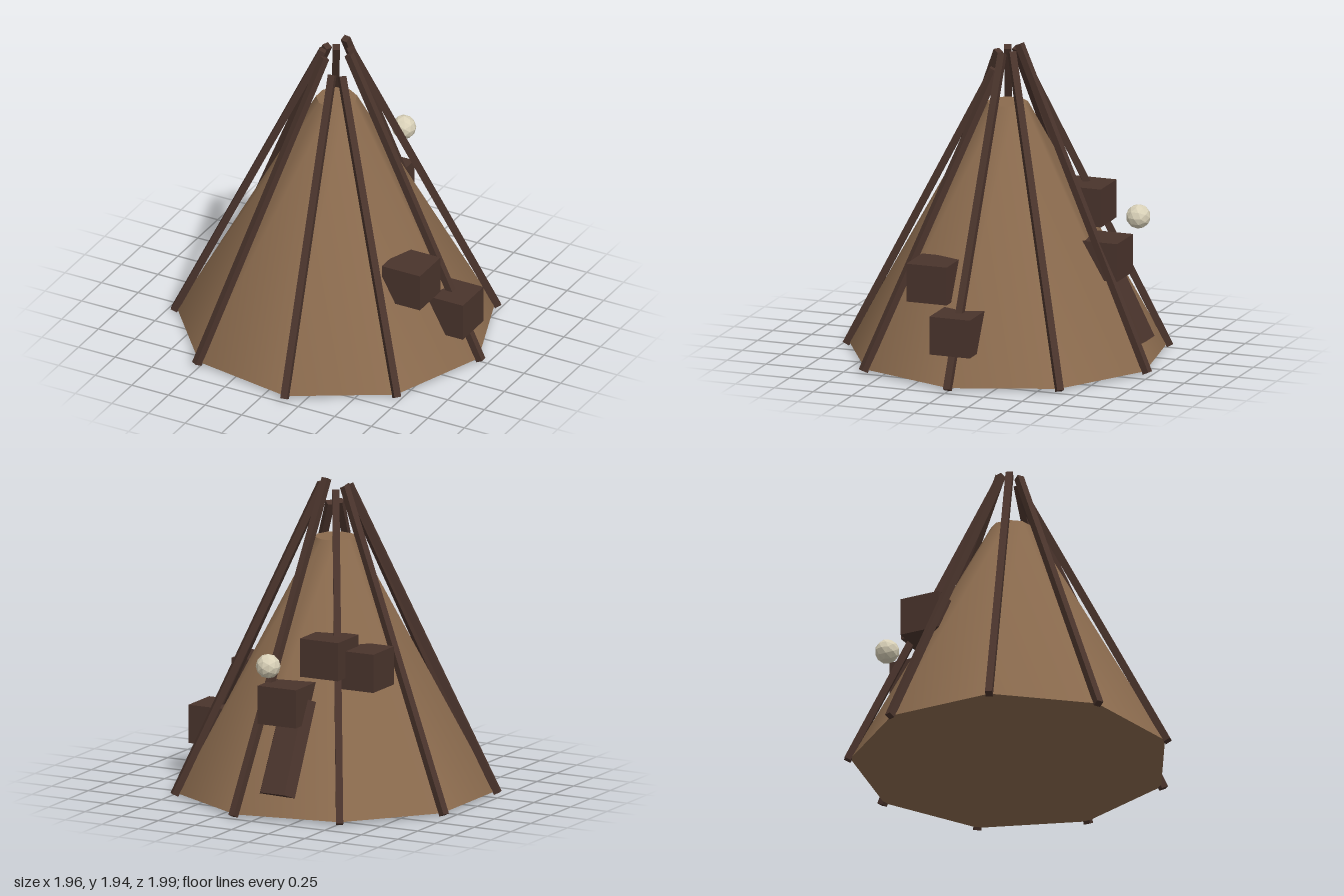
import * as THREE from 'three';

export function createModel() {
  const model = new THREE.Group();
  model.name = 'tent';
  const material = (name, color, flatShading = false) => {
    const m = new THREE.MeshStandardMaterial({ color, flatShading });
    m.name = name;
    return m;
  };
  const hide = material('tanned hide', 0x8b6b4e);
  const wood = material('dark wood', 0x4a342c, true);
  const bone = material('pale bone', 0xd9d1b8, true);
  const CX = -0.03; // tent axis

  const add = (name, geometry, mat, x, y, z) => {
    const mesh = new THREE.Mesh(geometry, mat);
    mesh.name = name;
    mesh.position.set(x, y, z);
    model.add(mesh);
    return mesh;
  };

  // A straight piece whose own y axis runs between two points
  const UP = new THREE.Vector3(0, 1, 0);
  const between = (name, geometry, a, b) => {
    const mid = a.clone().add(b).multiplyScalar(0.5);
    const mesh = add(name, geometry, wood, mid.x, mid.y, mid.z);
    mesh.quaternion.setFromUnitVectors(UP, b.clone().sub(a).normalize());
    return mesh;
  };

  // Nine-sided cover, closed at top and bottom
  add('cover', new THREE.CylinderGeometry(0.125, 0.968, 1.54, 9, 1, false, Math.PI / 2), hide, CX, 0.79, 0);

  // Leaning poles, one on each corner of the cover
  const poleTops = [1.88, 1.75, 1.76, 1.86, 1.88, 1.88, 1.86, 1.93, 1.89];
  poleTops.forEach((top, i) => {
    const base = new THREE.Vector3(0.985, 0.012, 0);
    const tip = new THREE.Vector3(0.085, top, 0);
    const spoke = new THREE.Group();
    spoke.name = 'poleSpoke';
    spoke.position.x = CX;
    spoke.rotation.y = -i * Math.PI * 2 / 9;
    spoke.add(between('pole', new THREE.BoxGeometry(0.043, base.distanceTo(tip), 0.043), base, tip));
    model.add(spoke);
  });

  // Square blocks half sunk into the cover
  const blocks = [
    [0.775, 0.325, 0.005], [0.6, 0.59, 0.223],
    [-0.04, 0.66, -0.625], [-0.23, 0.935, -0.445], [-0.42, 0.865, -0.35],
  ];
  for (const [x, y, z] of blocks) {
    add('block', new THREE.BoxGeometry(0.26, 0.235, 0.26), wood, x, y, z);
  }

  // Six-sided trunk leaning on the back of the cover
  const foot = new THREE.Vector3(-0.085, 0.1, -0.765);
  const head = new THREE.Vector3(-0.085, 0.65, -0.515);
  between('trunk', new THREE.CylinderGeometry(0.14, 0.165, foot.distanceTo(head), 6, 1, false, Math.PI / 2), foot, head);

  // Round knob floating above the trunk
  add('knob', new THREE.IcosahedronGeometry(0.075, 1), bone, -0.03, 0.93, -0.845);

  return model;
}
